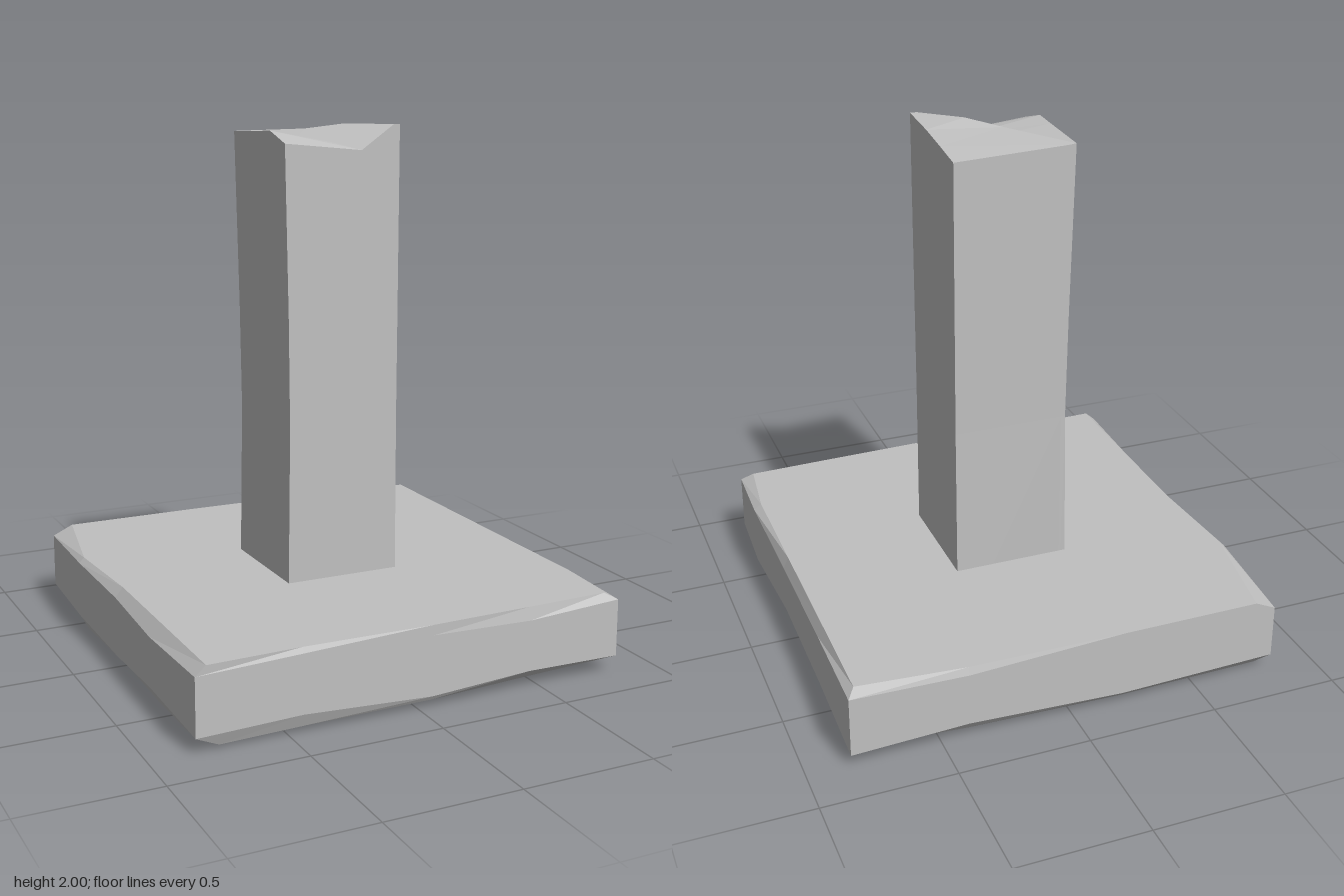
import * as THREE from 'three';

const stone = new THREE.MeshStandardMaterial({ color: 0xc0c0c0, flatShading: true });
stone.name = 'grey stone';

// Collect quads as triangles, each point [x, y, z], counter-clockwise from outside
function meshFrom(name, tris) {
  const g = new THREE.BufferGeometry();
  g.setAttribute('position', new THREE.Float32BufferAttribute(tris.flat(), 3));
  g.computeVertexNormals();
  const m = new THREE.Mesh(g, stone);
  m.name = name;
  return m;
}
const quad = (out, a, b, c, d) => out.push(a, b, c, a, c, d);

// Join stacked rings, bottom to top
function loft(out, rings) {
  for (let r = 0; r < rings.length - 1; r++) {
    const lo = rings[r], hi = rings[r + 1], n = lo.length;
    for (let i = 0; i < n; i++) {
      const j = (i + 1) % n;
      quad(out, lo[i], lo[j], hi[j], hi[i]);
    }
  }
}
function cap(out, ring, centre, up) {
  ring.forEach((p, i) => {
    const q = ring[(i + 1) % ring.length];
    if (up) out.push(centre, p, q);
    else out.push(centre, q, p);
  });
}

// Rough slab with chipped edges
function slab() {
  // Per point: x, z, then edge loss in x and z at the top, and at the bottom
  const edge = [
    [-0.84, 0.84, 0.04, 0.00, 0.09, 0.02],
    [-0.45, 0.84, 0, 0.01, 0, 0.02],
    [0.05, 0.84, 0, 0, 0, 0.01],
    [0.45, 0.84, 0, 0.01, 0, 0.03],
    [0.83, 0.84, 0.05, 0.02, 0.03, 0.04],
    [0.84, 0.55, 0.03, 0, 0.03, 0],
    [0.83, 0.1, 0.02, 0, 0.01, 0],
    [0.83, -0.4, 0.02, 0, 0.02, 0],
    [0.84, -0.84, 0.03, 0.04, 0.05, 0.05],
    [0.4, -0.845, 0, 0.01, 0, 0.03],
    [-0.2, -0.845, 0, 0, 0, 0.02],
    [-0.82, -0.845, 0.08, 0, 0.05, 0.04],
    [-0.845, -0.4, 0.02, 0, 0.03, 0],
    [-0.83, 0.0, 0.03, 0, 0.03, 0],
    [-0.84, 0.4, 0.04, 0, 0.03, 0],
  ];
  const ring = (col, yOf) => edge.map((e, i) => [
    e[0] - Math.sign(e[0]) * (col ? e[col] : 0),
    yOf(e[0], i),
    e[1] - Math.sign(e[1]) * (col ? e[col + 1] : 0),
  ]);
  const under = (x) => 0.015 + (x + 0.84) * 0.016;
  const rings = [
    ring(4, (x) => under(x)),
    ring(0, (x, i) => 0.06 + 0.015 * Math.sin(i * 2.3)),
    ring(0, (x, i) => 0.275 + 0.015 * Math.sin(i * 1.7)),
    ring(2, () => 0.31),
  ];
  const out = [];
  loft(out, rings);
  cap(out, rings[3], [0.02, 0.31, -0.05], true);
  cap(out, rings[0], [0, under(0), 0], false);
  return meshFrom('baseSlab', out);
}

// Square post with a slight waist and a broken, stepped top
function post() {
  const rows = [
    [[-0.235, 1.965, -0.235], [-0.235, 1.975, 0], [-0.235, 1.98, 0.1], [-0.235, 1.94, 0.23]],
    [[-0.235, 1.965, -0.235], [-0.09, 1.95, 0.02], [0, 1.935, 0.12], [0.07, 1.91, 0.23]],
    [[-0.2, 1.962, -0.235], [-0.05, 1.98, 0], [0.06, 2, 0.1], [0.2, 2, 0.23]],
    [[0.225, 1.945, -0.235], [0.225, 1.965, -0.1], [0.225, 1.985, 0.05], [0.225, 2, 0.23]],
  ];
  const out = [];
  for (let r = 0; r < 3; r++)
    for (let c = 0; c < 3; c++)
      quad(out, rows[r][c], rows[r][c + 1], rows[r + 1][c + 1], rows[r + 1][c]);

  // Outline of the broken top, walked from the front left corner
  const top = [
    ...rows.map((row) => row[3]),
    rows[3][2], rows[3][1], rows[3][0], rows[2][0],
    rows[0][0], rows[0][1], rows[0][2],
  ];
  const level = (y, kx, kz) => top.map(([x, , z]) => [x < -0.22 ? x * kx : x, y, z * kz]);
  const foot = level(0, 0.98, 1);
  loft(out, [foot, level(0.9, 0.92, 0.975), level(1.3, 0.94, 0.985), top]);
  cap(out, foot, [0, 0, 0], false);
  return meshFrom('post', out);
}

export function createModel() {
  const group = new THREE.Group();
  group.name = 'stonePost';
  group.add(slab(), post());
  return group;
}
